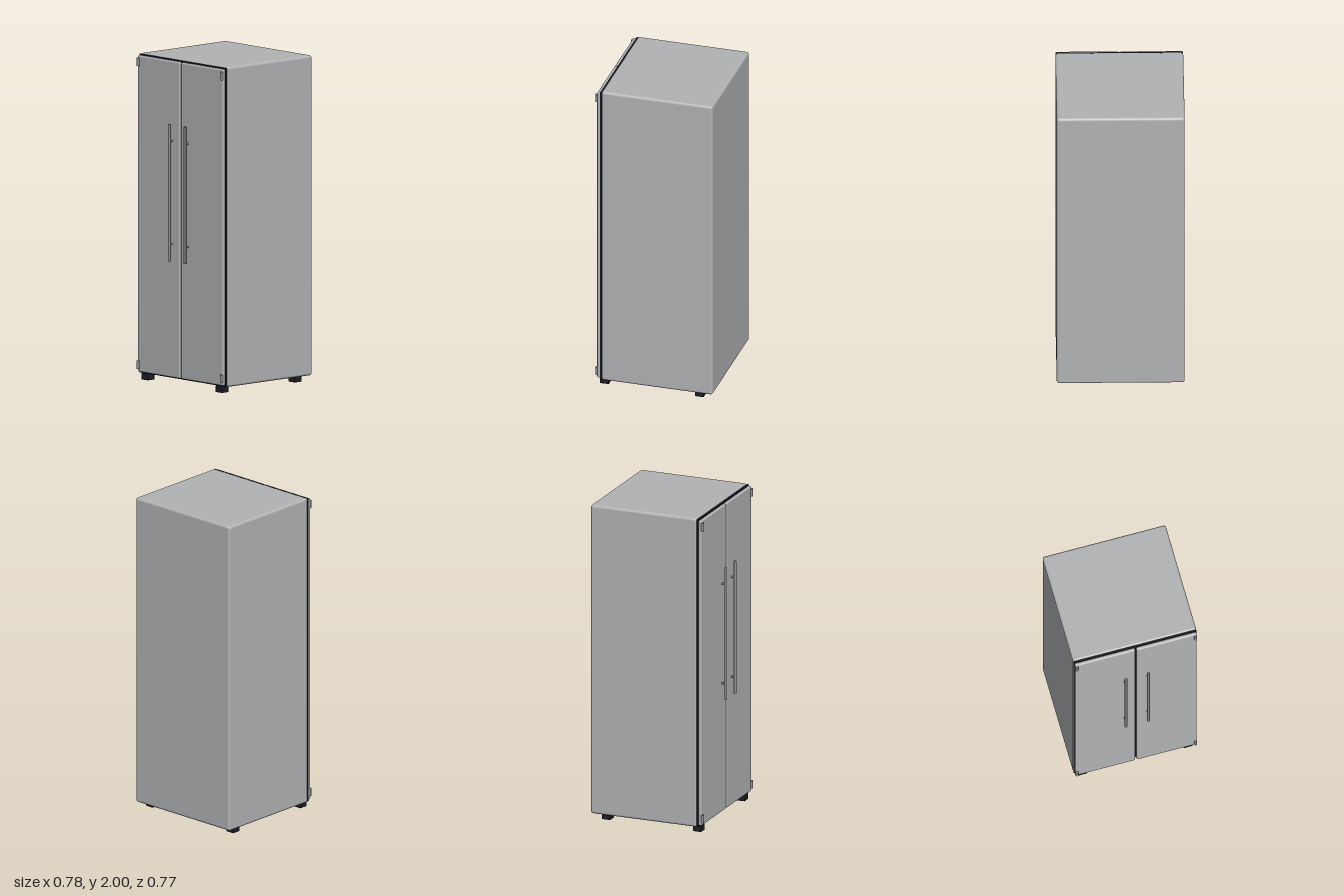
import * as THREE from 'three';
import { RoundedBoxGeometry } from 'three/addons/geometries/RoundedBoxGeometry.js';

export function createModel() {
  const material = (name, color) => {
    const m = new THREE.MeshStandardMaterial({ color });
    m.name = name;
    return m;
  };
  const steel = material('brushed steel', 0xb1b3b5);
  const metal = material('handle metal', 0x8c8e90);
  const dark = material('dark rubber', 0x1e1d25);

  const model = new THREE.Group();
  model.name = 'refrigerator';

  const add = (name, geometry, mat, x, y, z, parent = model) => {
    const mesh = new THREE.Mesh(geometry, mat);
    mesh.name = name;
    mesh.position.set(x, y, z);
    parent.add(mesh);
    return mesh;
  };

  // Cabinet with softly rounded edges, and the dark seal on its front
  add('cabinet', new RoundedBoxGeometry(0.776, 1.965, 0.704, 4, 0.016), steel, 0, 1.0175, -0.033);
  add('doorSeal', new THREE.BoxGeometry(0.772, 1.955, 0.01), dark, 0, 1.017, 0.321);

  // Shared geometries
  const doorGeometry = new RoundedBoxGeometry(0.379, 1.943, 0.023, 4, 0.01);
  const barGeometry = new THREE.CylinderGeometry(0.008, 0.008, 0.842, 20);
  const standoffGeometry = new THREE.CylinderGeometry(0.006, 0.006, 0.028, 16).rotateX(Math.PI / 2);
  const hingeGeometry = new THREE.CylinderGeometry(0.0095, 0.0095, 0.05, 20);
  const footGeometry = new THREE.BoxGeometry(0.055, 0.04, 0.055);

  for (const side of [1, -1]) {
    const label = side > 0 ? 'left' : 'right';
    const door = new THREE.Group();
    door.name = label + 'DoorAssembly';
    model.add(door);

    // Door panel
    add(label + 'Door', doorGeometry, steel, side * 0.1935, 1.0175, 0.3365, door);

    // Bar handle on two standoffs
    add(label + 'HandleBar', barGeometry, metal, side * 0.071, 1.183, 0.373, door);
    for (const y of [0.865, 1.5])
      add(label + 'HandleStandoff', standoffGeometry, metal, side * 0.071, y, 0.358, door);

    // Hinge barrels at the outer corners
    for (const y of [0.09, 1.949])
      add(label + 'Hinge', hingeGeometry, metal, side * 0.374, y, 0.35, door);

    // Feet
    for (const z of [0.307, -0.293])
      add(label + 'Foot', footGeometry, dark, side * 0.332, 0.02, z);
  }

  return model;
}
